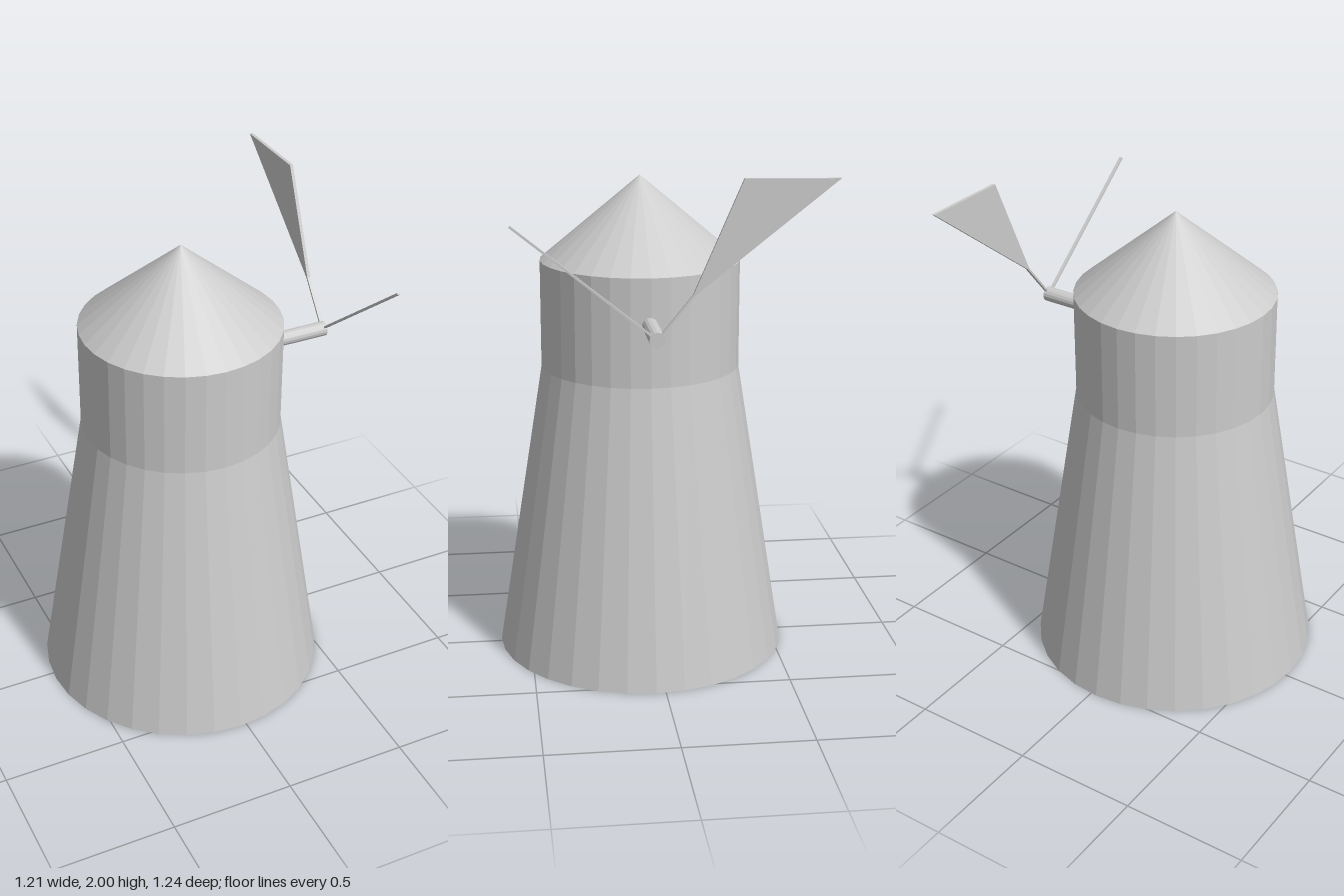
import * as THREE from 'three';

export function createModel() {
  const model = new THREE.Group();
  const material = new THREE.MeshStandardMaterial({ color: 0xcccccc, flatShading: true });
  const CX = -0.025, CZ = 0.037, SIDES = 32;

  const add = (name, geometry, x, y, z, parent = model) => {
    const mesh = new THREE.Mesh(geometry, material);
    mesh.name = name;
    mesh.position.set(x, y, z);
    parent.add(mesh);
    return mesh;
  };

  // Tapered tower, straight cap drum and conical roof
  const section = (name, rTop, rBottom, y0, y1, open) =>
    add(name, new THREE.CylinderGeometry(rTop, rBottom, y1 - y0, SIDES, 1, open), CX, (y0 + y1) / 2, CZ);
  section('tower', 0.395, 0.583, 0, 1.175, false);
  section('drum', 0.395, 0.395, 1.175, 1.6, true);
  add('roof', new THREE.ConeGeometry(0.395, 0.33, SIDES, 1, true), CX, 1.765, CZ);

  // Rotor on the left side of the tower
  const rotor = new THREE.Group();
  rotor.name = 'rotor';
  rotor.position.set(0, 1.42, CZ + 0.004);
  model.add(rotor);

  // Horizontal axle
  const axle = add('axle', new THREE.CylinderGeometry(0.03, 0.03, 0.255, 16), 0.4775, 0, 0, rotor);
  axle.rotation.z = Math.PI / 2;

  // Two thin spars at right angles
  const SPAR = 0.674, TILT = 0.89, SAIL_X = 0.599;
  for (const angle of [TILT, TILT - Math.PI / 2]) {
    const spar = new THREE.BoxGeometry(0.013, SPAR, 0.008).translate(0, SPAR / 2, 0);
    add('spar', spar, SAIL_X, 0, 0, rotor).rotation.x = angle;
  }

  // Thin sail widening towards its tip, drawn in (-z, y) from the hub
  const outline = [[0.126, 0.158], [0.143, 0.168], [0.658, 0.576], [0.309, 0.58]];
  const shape = new THREE.Shape(outline.map(([u, v]) => new THREE.Vector2(u, v)));
  const sail = new THREE.ExtrudeGeometry(shape, { depth: 0.013, bevelEnabled: false });
  sail.translate(0, 0, -0.0065).rotateY(Math.PI / 2);
  add('sail', sail, SAIL_X, 0, 0, rotor);

  return model;
}
